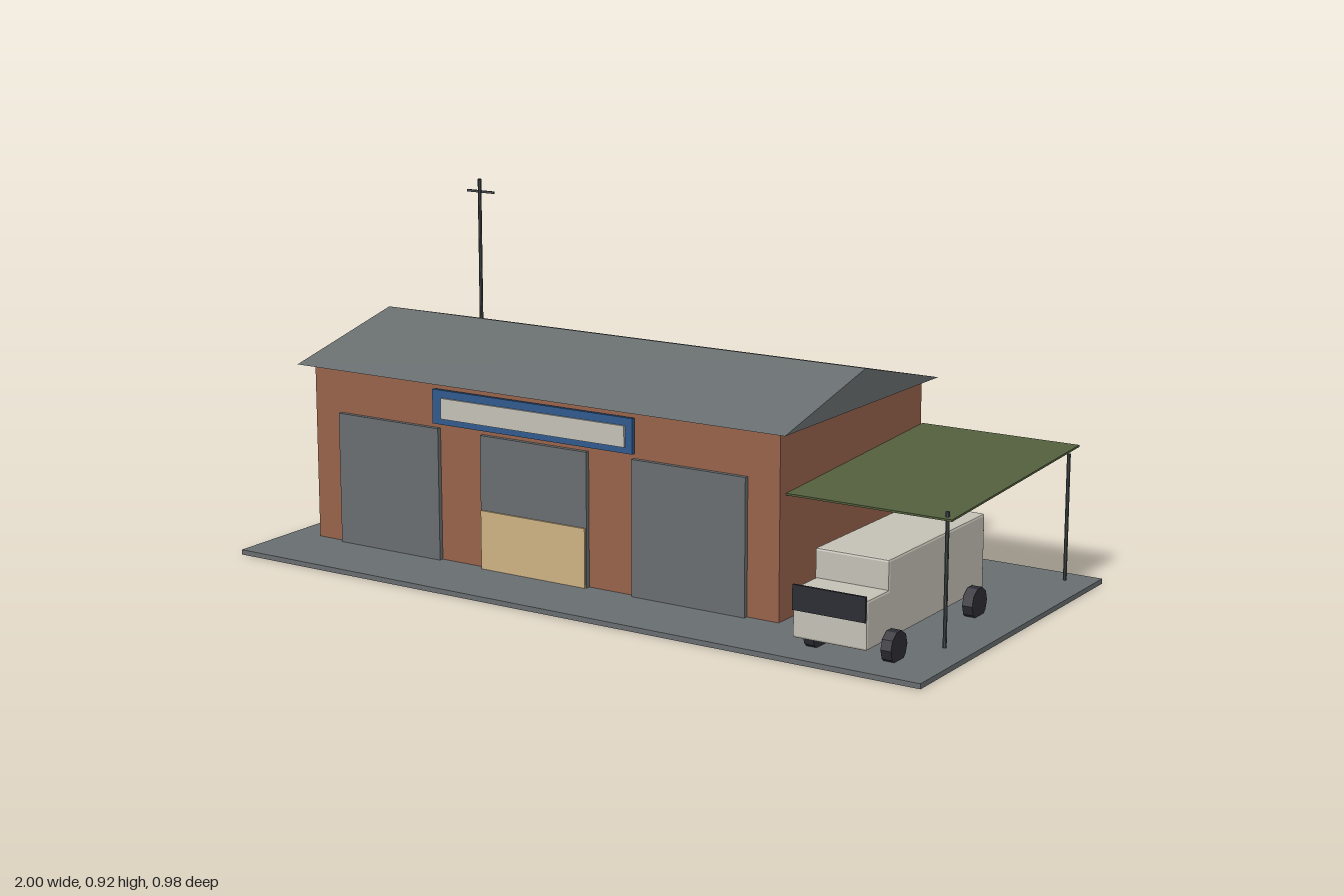
import * as THREE from 'three';
import { RoundedBoxGeometry } from 'three/addons/geometries/RoundedBoxGeometry.js';

const mat = (name, color) => {
  const m = new THREE.MeshStandardMaterial({ color, flatShading: true });
  m.name = name;
  return m;
};

export function createModel() {
  const grey = mat('slate grey', 0x686d6f);
  const brick = mat('brick', 0x97624b);
  const cream = mat('cream', 0xc3c0b5);
  const sand = mat('sand', 0xcdb183);
  const blue = mat('sign blue', 0x2f5a8c);
  const green = mat('canopy green', 0x525e3d);
  const wood = mat('crate wood', 0x80704c);
  const dark = mat('dark', 0x2c2c34);
  const steel = mat('steel', 0x43484a);

  const model = new THREE.Group();
  model.name = 'warehouse';

  const add = (name, geometry, material, parent = model) => {
    const mesh = new THREE.Mesh(geometry, material);
    mesh.name = name;
    parent.add(mesh);
    return mesh;
  };
  // Box given by its limits on each axis; an optional bevel chamfers its edges
  const box = (name, material, [x0, x1], [y0, y1], [z0, z1], parent = model, bevel = 0) => {
    const size = [x1 - x0, y1 - y0, z1 - z0];
    const geo = bevel ? new RoundedBoxGeometry(...size, 1, bevel) : new THREE.BoxGeometry(...size);
    geo.translate((x0 + x1) / 2, (y0 + y1) / 2, (z0 + z1) / 2);
    return add(name, geo, material, parent);
  };
  const group = (name) => {
    const g = new THREE.Group();
    g.name = name;
    model.add(g);
    return g;
  };
  const pole = (name, x, z, y0, y1, r, parent) => {
    const geo = new THREE.CylinderGeometry(r, r, y1 - y0, 8);
    geo.translate(x, (y0 + y1) / 2, z);
    return add(name, geo, steel, parent);
  };

  // Ground slab and walls
  const floor = 0.013;
  box('slab', grey, [-1, 1], [0, floor], [-0.49, 0.49]);
  box('walls', brick, [-0.915, 0.505], [floor, 0.483], [-0.437, 0.274]);

  // Gable roof, a triangle extruded along x
  const gable = new THREE.Shape([
    new THREE.Vector2(-0.305, 0.482),
    new THREE.Vector2(0.47, 0.482),
    new THREE.Vector2(0.0825, 0.575),
  ]);
  const roofGeo = new THREE.ExtrudeGeometry(gable, { depth: 1.485, bevelEnabled: false });
  roofGeo.rotateY(Math.PI / 2).translate(-0.95, 0, 0);
  add('roof', roofGeo, grey);

  // Loading doors, the middle one with a sand-coloured lower panel
  const doors = group('loadingDoors');
  for (const x of [-0.667, -0.207, 0.253]) {
    box('door', grey, [x - 0.163, x + 0.163], [floor, 0.362], [0.27, 0.286], doors);
  }
  box('doorPanel', sand, [-0.367, -0.047], [floor, 0.167], [0.284, 0.291], doors);

  // Blank sign board
  const sign = group('sign');
  box('signBoard', blue, [-0.515, 0.097], [0.376, 0.466], [0.282, 0.292], sign);
  box('signFace', cream, [-0.485, 0.076], [0.392, 0.446], [0.29, 0.297], sign);
  for (const x of [-0.45, 0.03]) {
    box('signBracket', blue, [x - 0.01, x + 0.01], [0.41, 0.43], [0.272, 0.284], sign);
  }

  // Five barred windows along the back wall
  for (let i = -2; i <= 2; i++) {
    const x = -0.205 + i * 0.28;
    const w = group('backWindow');
    box('glass', dark, [x - 0.05, x + 0.05], [0.265, 0.355], [-0.44, -0.435], w);
    for (const s of [-0.05, 0, 0.05]) {
      box('windowUpright', cream, [x + s - 0.004, x + s + 0.004], [0.261, 0.359], [-0.445, -0.436], w);
    }
    for (const y of [0.265, 0.325, 0.355]) {
      box('windowBar', cream, [x - 0.054, x + 0.054], [y - 0.004, y + 0.004], [-0.4445, -0.436], w);
    }
  }

  // Sloping side canopy on two posts
  const canopy = group('canopy');
  const sheet = box('canopySheet', green, [-0.22, 0.22], [-0.0025, 0.0025], [-0.3465, 0.3465], canopy);
  sheet.position.set(0.725, 0.342, -0.101);
  sheet.rotation.x = Math.atan2(0.035, 0.692);
  for (const z of [0.228, -0.43]) pole('canopyPost', 0.925, z, floor, 0.34, 0.005, canopy);

  // Roof mast with crossbar
  const mast = group('mast');
  pole('mastPole', -0.765, -0.255, 0.52, 0.92, 0.005, mast);
  box('mastCrossbar', steel, [-0.81, -0.72], [0.882, 0.888], [-0.263, -0.257], mast);

  // Delivery truck
  const truck = group('truck');
  box('cargoBox', cream, [0.655, 0.85], [0.055, 0.246], [-0.12, 0.367], truck, 0.006);
  box('cab', cream, [0.655, 0.85], [0.055, 0.174], [0.355, 0.468], truck, 0.006);
  box('windscreen', dark, [0.657, 0.848], [0.123, 0.184], [0.466, 0.473], truck);
  for (const x of [0.663, 0.867]) {
    for (const z of [0.369, -0.04]) {
      const wheel = new THREE.CylinderGeometry(0.04, 0.04, 0.027, 10);
      wheel.rotateZ(Math.PI / 2).translate(x, 0.044, z);
      add('wheel', wheel, dark, truck);
    }
  }

  // Crates beside and behind the building: x, y, z of the lower rear corner
  const crates = group('crates');
  for (const [x, y, z] of [
    [0.507, floor, -0.285],
    [0.507, floor, -0.376],
    [0.507, 0.085, -0.467],
    [0.395, floor, -0.467],
  ]) {
    box('crate', wood, [x, x + 0.102], [y, y + 0.071], [z, z + 0.08], crates);
  }

  return model;
}
